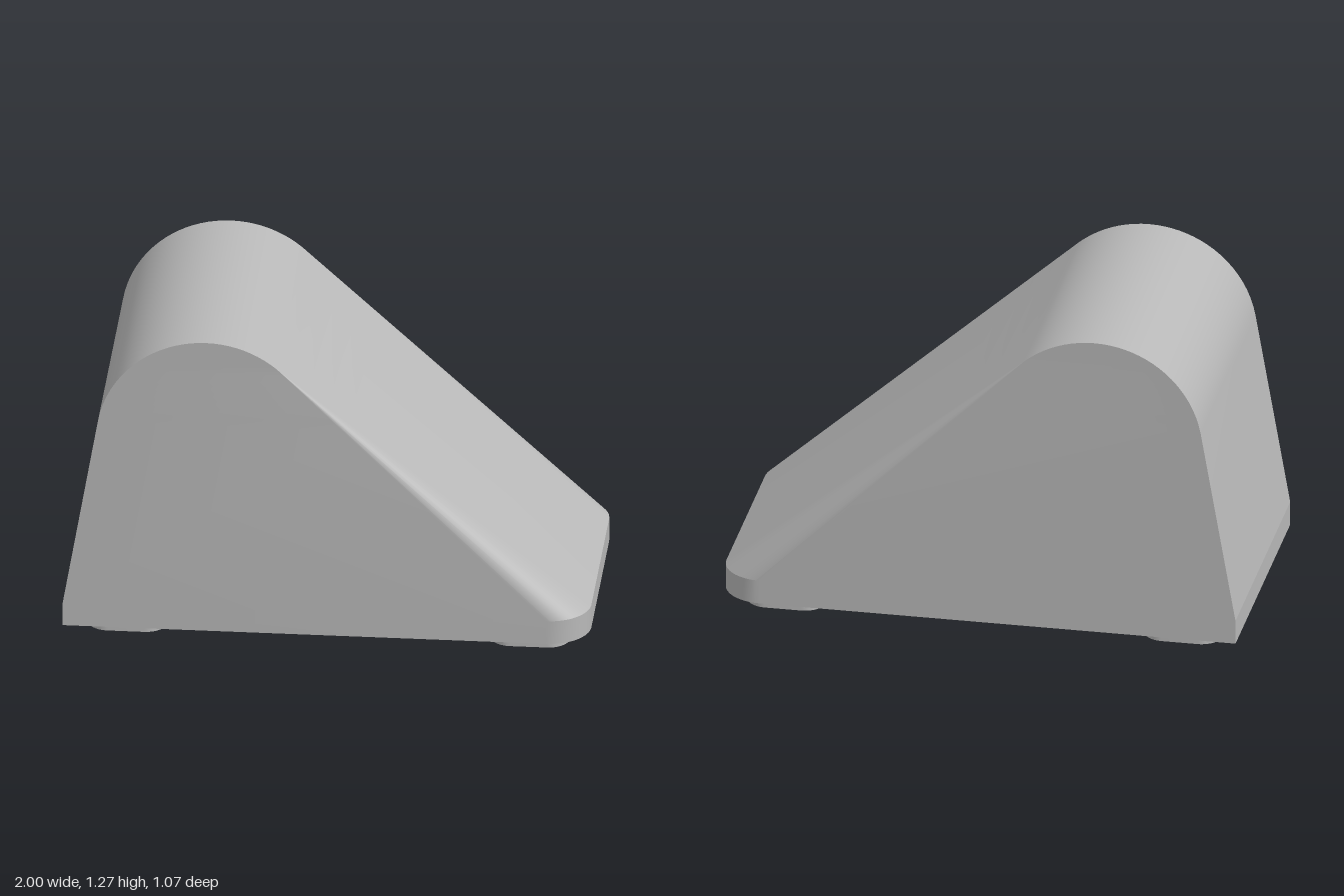
import * as THREE from 'three';
import { toCreasedNormals } from 'three/addons/utils/BufferGeometryUtils.js';

const HALF = 0.537;                 // half depth of the body
const BASE = 0.055, LIP = 0.15;     // underside, top of the straight lip
const CX = -0.455, CY = 0.85, R = 0.417; // rounded crest
const A_BACK = THREE.MathUtils.degToRad(9.9);   // tangent of the steep end
const A_SLOPE = THREE.MathUtils.degToRad(49.2); // tangent of the long slope
const CORNER = 0.16, STEPS = 16;

// Horizontal section: left end, right end and corner radius at the slope
function sections() {
  const list = [
    { y: BASE, xl: -1, xr: 1, r: CORNER },
    { y: LIP, xl: -1, xr: 1, r: CORNER },
  ];
  const sx = CX + R * Math.cos(A_SLOPE), sy = CY + R * Math.sin(A_SLOPE);
  const add = (a) => {
    const y = CY + R * Math.sin(a), dx = R * Math.cos(a);
    const t = Math.min(1, (y - LIP) / (sy - LIP));
    const xr = t < 1 ? 1 + (sx - 1) * t : CX + dx;
    list.push({ y, xl: CX - dx, xr, r: CORNER * (1 - t) });
  };
  for (let i = 0; i <= 8; i++) add(A_BACK + (A_SLOPE - A_BACK) * i / 8);
  for (let i = 1; i <= 10; i++) add(A_SLOPE + (Math.PI / 2 - A_SLOPE) * i / 10);
  return list;
}

// Square at the steep end, rounded at the slope end
function loop({ y, xl, xr, r }) {
  const pts = [new THREE.Vector3(xl, y, -HALF), new THREE.Vector3(xl, y, HALF)];
  for (const start of [Math.PI / 2, 0]) {
    const side = start > 0 ? 1 : -1;
    for (let i = 0; i <= STEPS; i++) {
      const a = start - (Math.PI / 2) * i / STEPS;
      pts.push(new THREE.Vector3(xr - r + r * Math.cos(a), y, side * (HALF - r) + r * Math.sin(a)));
    }
  }
  return pts;
}

function bodyGeometry() {
  const loops = sections().map(loop), pos = [];
  const area = new THREE.Triangle();
  const tri = (a, b, c) => {
    if (area.set(a, b, c).getArea() > 1e-9) pos.push(...a.toArray(), ...b.toArray(), ...c.toArray());
  };
  const n = loops[0].length;
  for (let k = 0; k < loops.length - 1; k++) {
    const lo = loops[k], hi = loops[k + 1];
    for (let i = 0; i < n; i++) {
      const j = (i + 1) % n;
      tri(lo[i], lo[j], hi[j]);
      tri(lo[i], hi[j], hi[i]);
    }
  }
  // Underside
  for (let i = 1; i < n - 1; i++) tri(loops[0][0], loops[0][i + 1], loops[0][i]);
  const g = new THREE.BufferGeometry();
  g.setAttribute('position', new THREE.Float32BufferAttribute(pos, 3));
  return toCreasedNormals(g, THREE.MathUtils.degToRad(8));
}

// Rounded square pad, standing on y = 0
function footGeometry() {
  const h = 0.15, r = 0.08, c = h - r, s = new THREE.Shape();
  [[c, c], [-c, c], [-c, -c], [c, -c]].forEach(([x, y], i) =>
    s.absarc(x, y, r, i * Math.PI / 2, (i + 1) * Math.PI / 2, false));
  s.closePath();
  const g = new THREE.ExtrudeGeometry(s, { depth: BASE, bevelEnabled: false, curveSegments: 8 });
  g.rotateX(-Math.PI / 2);
  return toCreasedNormals(g, THREE.MathUtils.degToRad(30));
}

export function createModel() {
  const model = new THREE.Group();
  model.name = 'wedgeBlock';
  const grey = new THREE.MeshStandardMaterial({ color: 0xb8b8b8 });
  grey.name = 'grey';

  const body = new THREE.Mesh(bodyGeometry(), grey);
  body.name = 'body';
  model.add(body);

  const pad = footGeometry();
  for (const x of [-1, 1]) for (const z of [-1, 1]) {
    const foot = new THREE.Mesh(pad, grey);
    foot.name = (z > 0 ? 'front' : 'back') + (x > 0 ? 'Left' : 'Right') + 'Foot';
    foot.position.set(x * 0.767, 0, z * 0.305);
    model.add(foot);
  }
  return model;
}
